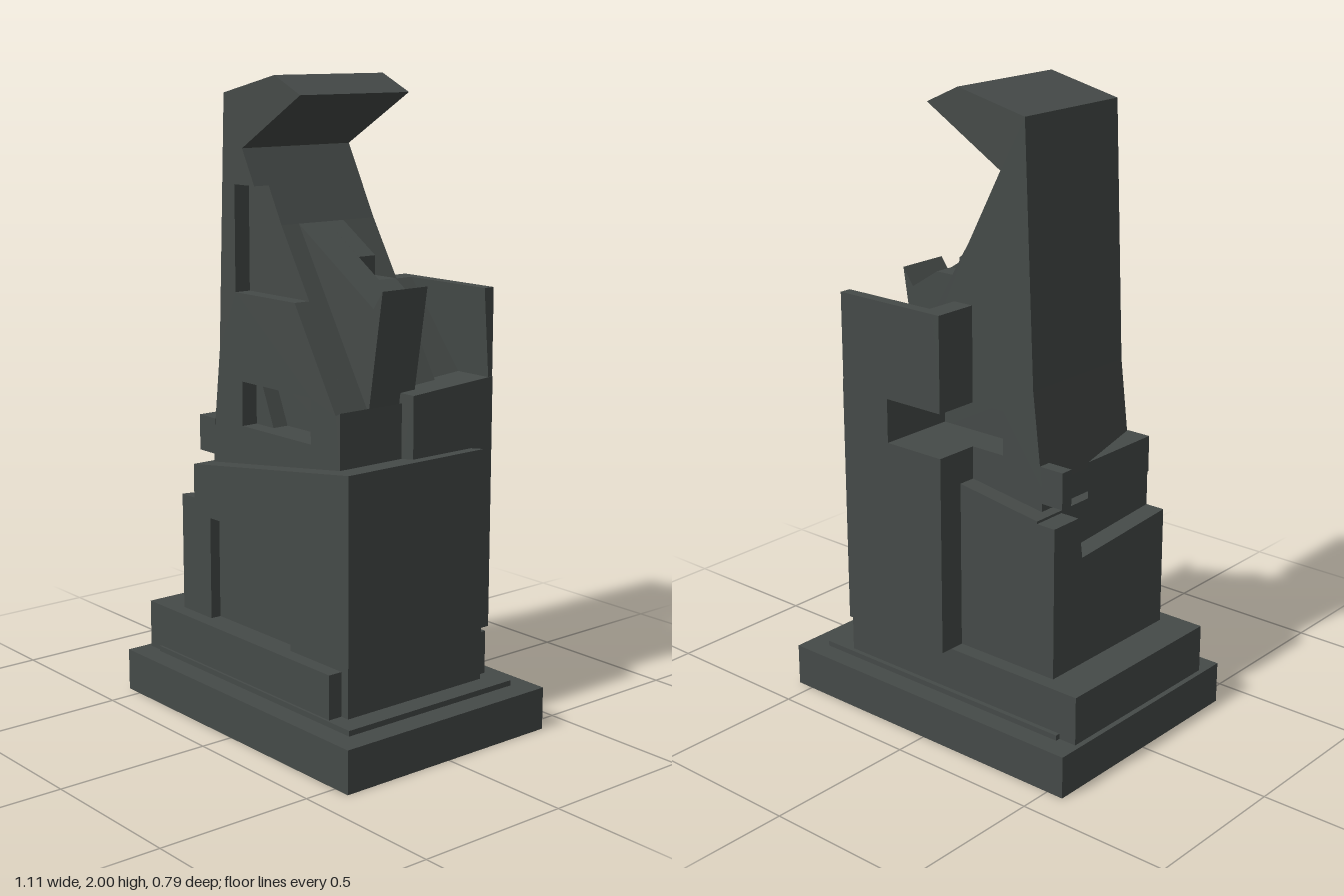
import * as THREE from 'three';

const material = new THREE.MeshStandardMaterial({ color: 0x454a48, flatShading: true });

const vectors = (points) => points.map(([a, b]) => new THREE.Vector2(a, b));

export function createModel() {
  const model = new THREE.Group();

  const add = (name, geometry) => {
    const mesh = new THREE.Mesh(geometry, material);
    mesh.name = name;
    model.add(mesh);
  };

  // Box given by its limits on each axis
  const box = (name, [x0, x1], [y0, y1], [z0, z1]) => {
    const g = new THREE.BoxGeometry(x1 - x0, y1 - y0, z1 - z0);
    add(name, g.translate((x0 + x1) / 2, (y0 + y1) / 2, (z0 + z1) / 2));
  };

  // Outline extruded from lo to hi along one axis:
  // 'z' takes (x, y) points, 'x' takes (z, y) points, 'y' takes (x, z) points
  const prism = (name, axis, points, lo, hi, hole) => {
    const shape = new THREE.Shape(vectors(points));
    if (hole) shape.holes.push(new THREE.Path(vectors(hole)));
    const g = new THREE.ExtrudeGeometry(shape, { depth: hi - lo, bevelEnabled: false });
    g.translate(0, 0, axis === 'z' ? lo : -hi);
    if (axis === 'x') g.rotateY(-Math.PI / 2);
    if (axis === 'y') g.rotateX(Math.PI / 2);
    add(name, g);
  };

  const rect = (x0, x1, y0, y1) => [[x0, y0], [x1, y0], [x1, y1], [x0, y1]];

  // Stepped plinth
  box('baseSlab', [-0.557, 0.557], [0, 0.135], [-0.395, 0.395]);
  box('thinStep', [-0.48, 0.48], [0.135, 0.152], [-0.33, 0.325]);
  box('upperStep', [-0.54, 0.38], [0.135, 0.29], [-0.315, 0.317]);

  // Pedestal with a sloping top and a shallow niche in front
  const pedestal = [[-0.35, 0.14], [0.41, 0.14], [0.41, 0.885], [-0.35, 0.78]];
  prism('pedestal', 'z', pedestal, -0.267, 0.235);
  prism('pedestalFront', 'z', pedestal, 0.235, 0.27, rect(-0.265, 0.14, 0.29, 0.62));
  // Chipped left edge of the pedestal
  prism('pedestalChippedEdge', 'x',
    [[-0.267, 0.14], [0.27, 0.14], [0.27, 0.67], [-0.135, 0.64], [-0.155, 0.772], [-0.267, 0.772]],
    -0.415, -0.35);

  // Hooked tower, built in layers so the window and panel are recessed
  const leftSide = [[0, 2], [-0.25, 1.943], [-0.285, 1.15], [-0.32, 0.86], [-0.32, 0.76]];
  const foot = [[0.3, 0.84], [0.3, 1.04], [0.28, 1.03]];
  const beak = [[-0.16, 1.78], [0.12, 1.945]];
  const tower = [...leftSide, ...foot, [-0.04, 1.555], ...beak];
  const panelled = [...leftSide, ...foot, [0.091, 1.34], [-0.2, 1.34],
    [-0.2, 1.67], [-0.101, 1.67], ...beak];
  const opening = rect(-0.17, 0.165, 0.925, 1.065);
  prism('towerFront', 'z', panelled, 0.155, 0.21, opening);
  prism('towerFrontInner', 'z', tower, 0.1, 0.155, opening);
  prism('towerCore', 'z', tower, -0.1, 0.1);
  prism('towerBack', 'z', tower, -0.21, -0.1, opening);
  // Slanted piece inside the front window
  prism('windowWedge', 'z',
    [[-0.17, 0.925], [-0.085, 0.925], [-0.145, 1.065], [-0.17, 1.065]], 0.09, 0.155);

  // Broken ledge on the left of the tower
  prism('ledgeRear', 'y', rect(-0.397, -0.3, -0.21, -0.168), 0.81, 0.925);
  prism('ledgeFront', 'y', [[-0.397, -0.09], [-0.315, 0.21], [-0.397, 0.21]], 0.81, 0.925);

  // Arm leaning on the slope, its rear half notched
  const armEnd = [[0.305, 1.335], [0.345, 1.39], [0.285, 1.02], [0.1, 1.02], [-0.06, 1.5]];
  prism('armFront', 'z', [[-0.04, 1.555], ...armEnd], -0.022, 0.088);
  prism('armRear', 'z',
    [[-0.04, 1.555], [0.11, 1.46], [0.11, 1.4], [0.203, 1.4], ...armEnd], -0.087, -0.022);

  // Back buttress: tall column, low shelf, sloped top and leaning rear wall
  prism('buttressColumn', 'x',
    [[-0.355, 0.29], [-0.03, 0.29], [-0.03, 1.07], [-0.355, 1.09]], 0.165, 0.352);
  box('buttressShelf', [-0.05, 0.165], [0.29, 0.925], [-0.355, -0.2]);
  prism('buttressTop', 'z',
    [[-0.05, 1.065], [0.235, 1.065], [0.02, 1.365], [-0.05, 1.365]], -0.355, -0.2);
  prism('buttressRearWall', 'x',
    [[-0.355, 1.065], [-0.34, 1.065], [-0.317, 1.365], [-0.355, 1.365]], -0.05, 0.35);

  return model;
}
